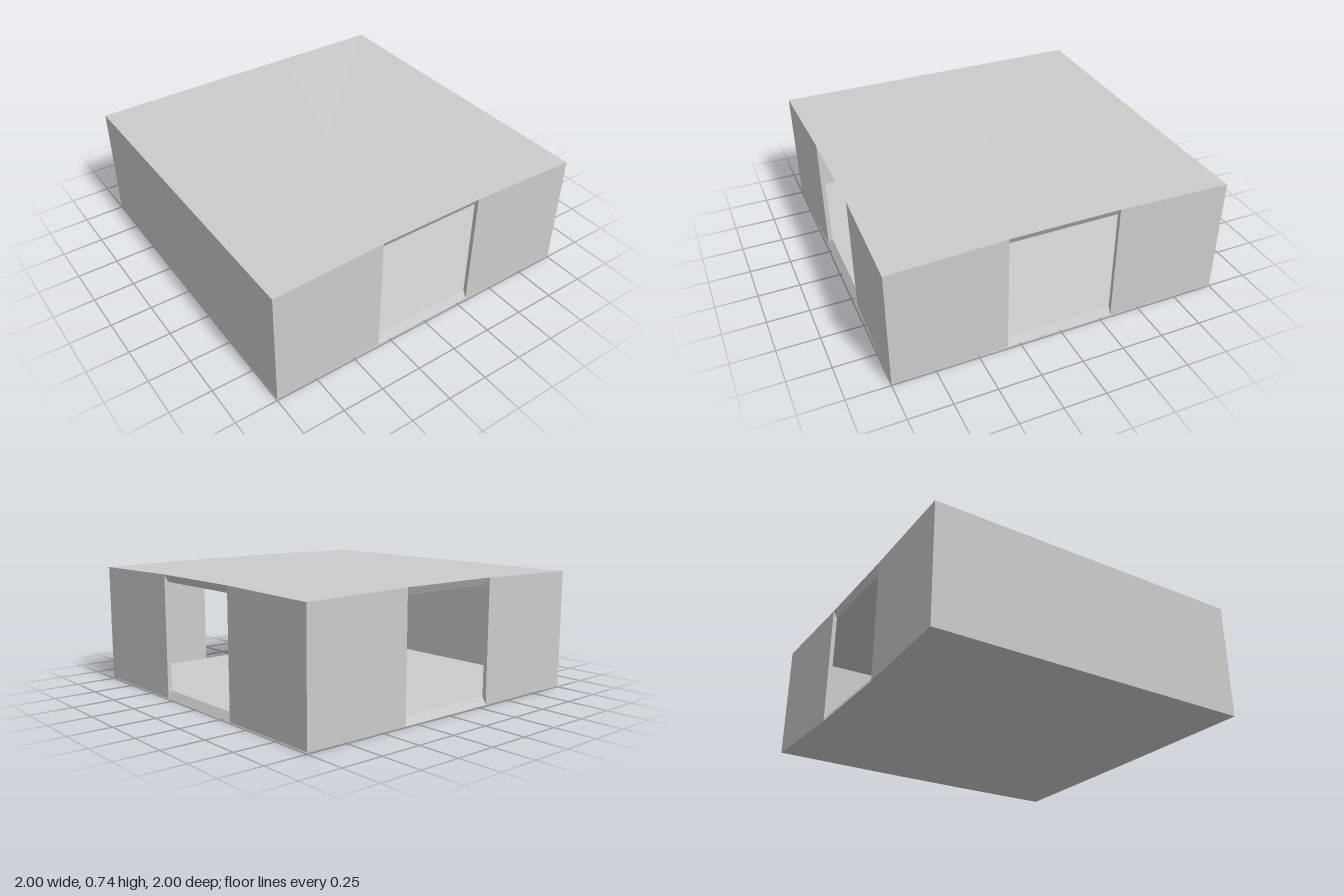
import * as THREE from 'three';

// Plan outline, counter-clockwise from the front left corner: [x, z, isDoorPoint]
const outline = (corner, door, half) => [
  [-corner, corner, 0], [-half, door, 1], [half, door, 1],
  [corner, corner, 0], [door, half, 1], [door, -half, 1],
  [corner, -corner, 0], [half, -door, 1], [-half, -door, 1],
  [-corner, -corner, 0],
];

// Lift an outline to a height, with its corners offset by a small sag
const ring = (points, y, sag) => points.map(([x, z, d]) => new THREE.Vector3(x, d ? y : y + sag, z));

const quad = (a, b, c, d) => [a, b, c, a, c, d];

export function createModel() {
  const model = new THREE.Group();
  const concrete = new THREE.MeshStandardMaterial({ color: 0xcccccc });
  concrete.name = 'plain grey';

  const add = (name, vertices) => {
    const geometry = new THREE.BufferGeometry().setFromPoints(vertices);
    geometry.computeVertexNormals();
    const mesh = new THREE.Mesh(geometry, concrete);
    mesh.name = name;
    model.add(mesh);
  };

  const outer = outline(1, 0.985, 0.325);
  const inner = outline(0.97, 0.96, 0.325);
  const ob = ring(outer, 0, 0.01), ot = ring(outer, 0.735, -0.01);
  const ib = ring(inner, 0.045, 0), it = ring(inner, 0.69, 0);

  // Slabs: fans about the centre, facing up or down
  const slab = (points, y, up) => points.flatMap((a, i) => {
    const b = points[(i + 1) % points.length];
    const c = new THREE.Vector3(0, y, 0);
    return up ? [c, a, b] : [c, b, a];
  });
  add('roof', slab(ot, 0.735, true));
  add('underside', slab(ob, 0, false));
  add('floor', slab(ib, 0.045, true));
  add('ceiling', slab(it, 0.69, false));

  // Walls with a doorway in the front, left and back
  const outside = [], inside = [], frames = [];
  for (let i = 0; i < outer.length; i++) {
    const j = (i + 1) % outer.length;
    if (outer[i][2] && outer[j][2]) {
      frames.push(
        ...quad(ob[i], ob[j], ib[j], ib[i]), // sloping sill
        ...quad(ot[j], ot[i], it[i], it[j]), // sloping lintel
        ...quad(ob[i], ib[i], it[i], ot[i]), // jambs
        ...quad(ib[j], ob[j], ot[j], it[j]),
      );
    } else {
      outside.push(...quad(ob[i], ob[j], ot[j], ot[i]));
      inside.push(...quad(ib[j], ib[i], it[i], it[j]));
    }
  }
  add('outerWalls', outside);
  add('innerWalls', inside);
  add('doorFrames', frames);

  return model;
}
